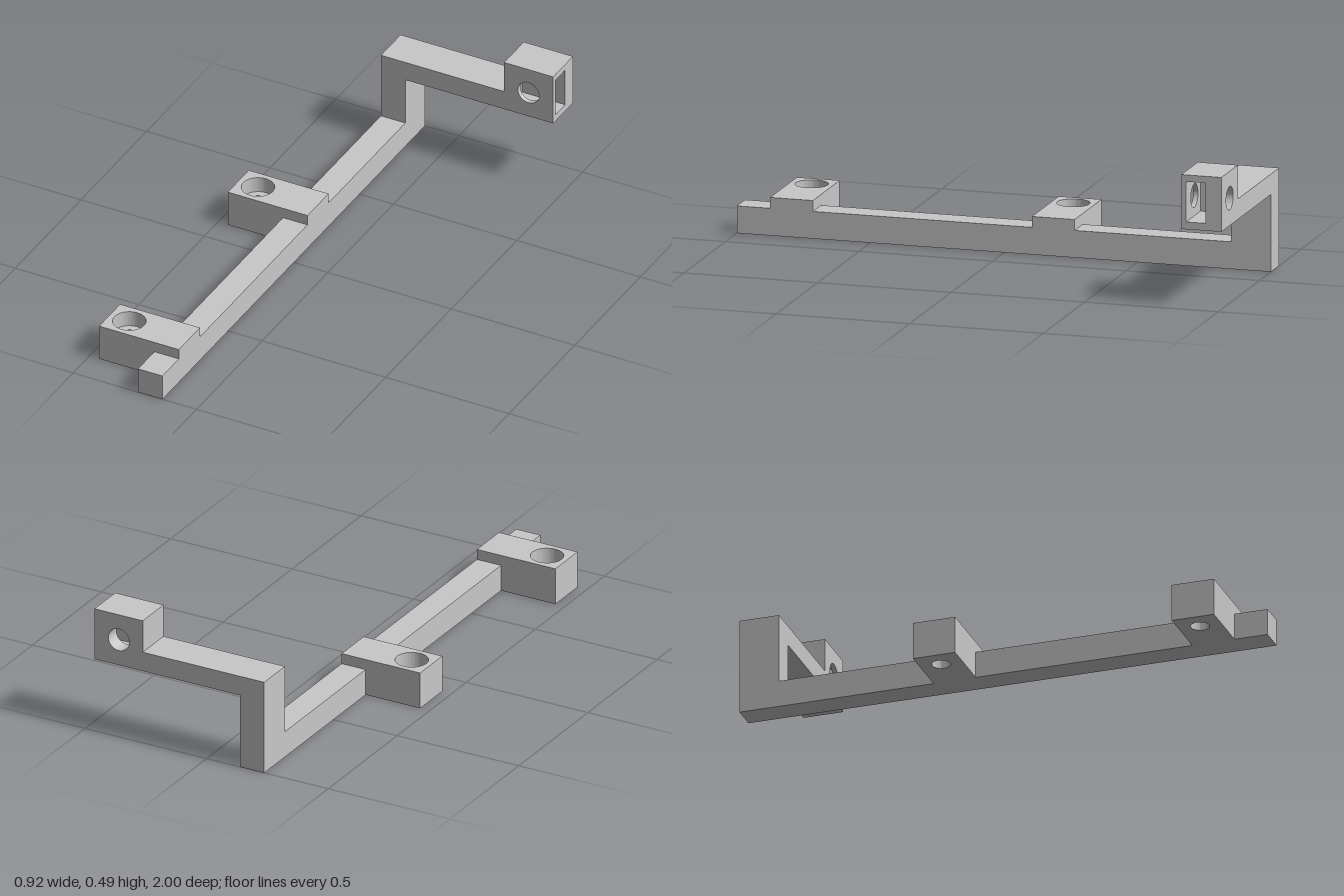
import * as THREE from 'three';
import { toCreasedNormals } from 'three/addons/utils/BufferGeometryUtils.js';

const grey = new THREE.MeshStandardMaterial({ color: 0xc8c8c8 });
grey.name = 'lightGrey';

// Closed outline from corner points, with an optional round hole [x, y, radius]
function outline(points, hole) {
  const shape = new THREE.Shape(points.map(([x, y]) => new THREE.Vector2(x, y)));
  if (hole) shape.holes.push(new THREE.Path().absarc(hole[0], hole[1], hole[2], 0, Math.PI * 2, true));
  return shape;
}

function extrude(shape, depth) {
  return toCreasedNormals(
    new THREE.ExtrudeGeometry(shape, { depth, bevelEnabled: false, curveSegments: 32 }), 0.5);
}

function addMesh(parent, name, geometry) {
  const mesh = new THREE.Mesh(geometry, grey);
  mesh.name = name;
  parent.add(mesh);
  return mesh;
}

export function createModel() {
  const model = new THREE.Group();
  model.name = 'mountingBracket';
  const railL = -0.237, railR = -0.138, end = 0.461;

  // Long rail, interrupted where the lugs sit
  for (const [z0, z1] of [[-0.85, -0.265], [-0.105, 0.715], [0.875, 1]]) {
    const rail = addMesh(model, 'rail', new THREE.BoxGeometry(railR - railL, 0.1, z1 - z0));
    rail.position.set((railL + railR) / 2, 0.05, (z0 + z1) / 2);
  }

  // Two screw lugs with a counterbored hole
  for (const z of [-0.185, 0.795]) {
    const lug = new THREE.Group();
    lug.name = 'screwLug';
    const corners = [[-0.461, -0.08], [railR, -0.08], [railR, 0.08], [-0.461, 0.08]];
    for (const [name, radius, y0, y1] of [['lugBase', 0.034, 0, 0.08], ['lugCounterbore', 0.06, 0.08, 0.14]]) {
      const layer = extrude(outline(corners, [-0.381, 0, radius]), y1 - y0);
      addMesh(lug, name, layer.rotateX(-Math.PI / 2)).position.y = y0;
    }
    lug.position.z = z;
    model.add(lug);
  }

  // Post, arm and head: walls with a bolt hole around a core with a nut slot
  const start = [[railL, 0], [railR, 0], [railR, 0.285], [end, 0.285]];
  const finish = [[end, 0.485], [0.262, 0.485], [0.262, 0.36], [railL, 0.36]];
  const slot = [[end, 0.312], [0.287, 0.312], [0.287, 0.46], [end, 0.46]];
  const wall = outline([...start, ...finish], [0.361, 0.386, 0.043]);
  const core = outline([...start, ...slot, ...finish]);
  for (const [name, shape, z0, z1] of [
    ['armBackWall', wall, -1, -0.941],
    ['armSlottedCore', core, -0.941, -0.868],
    ['armFrontWall', wall, -0.868, -0.85],
  ]) addMesh(model, name, extrude(shape, z1 - z0)).position.z = z0;

  return model;
}
